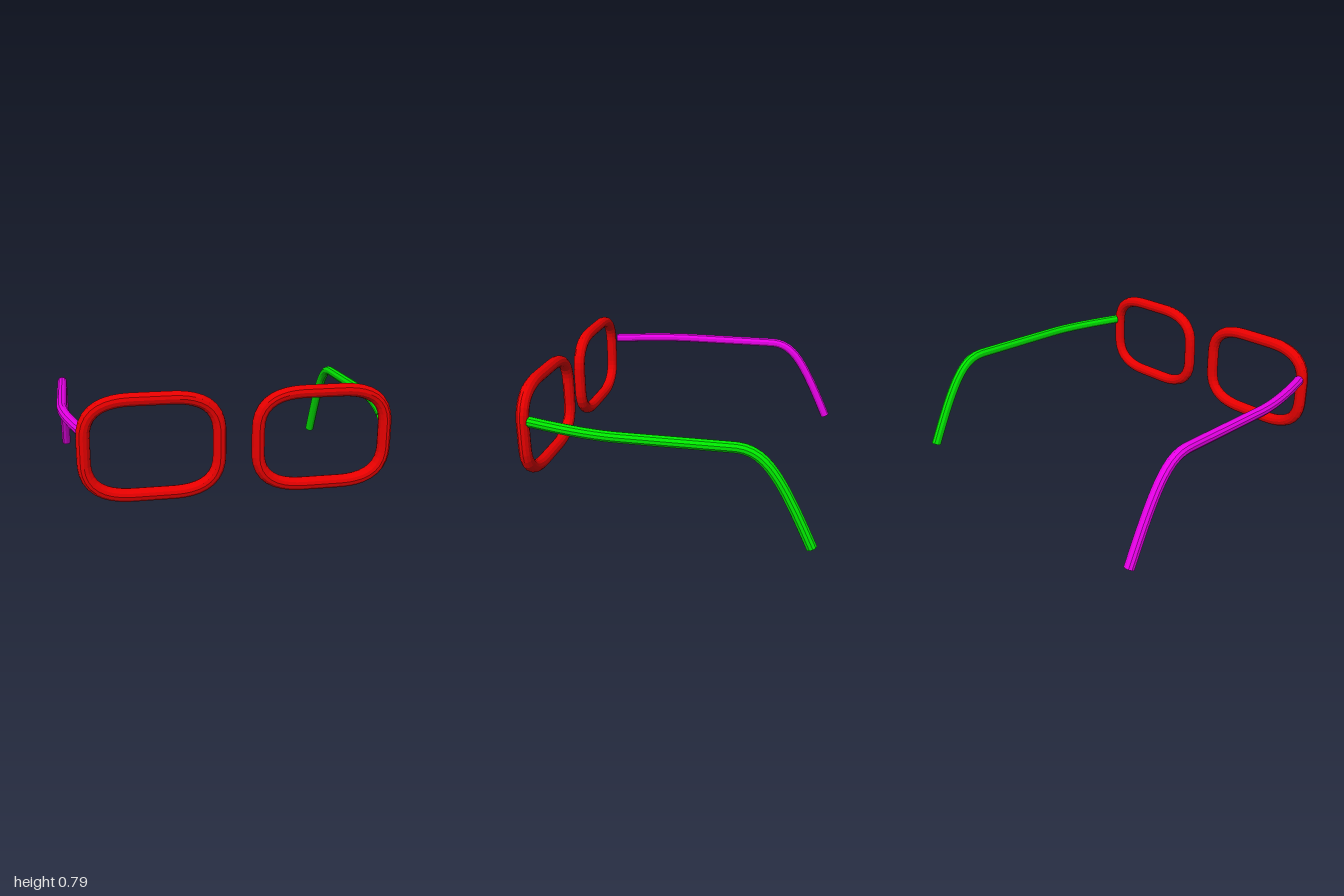
import * as THREE from 'three';

const V = (x, y, z) => new THREE.Vector3(x, y, z);
const ARM_RADIUS = 0.032;

function paint(name, color) {
  const m = new THREE.MeshStandardMaterial({ color, flatShading: true });
  m.name = name;
  return m;
}

// Rounded-rectangle loop for a lens rim: straight flats joined by soft corners
function rimPath(cx, cy, cz, a, b) {
  const fx = 0.11, fy = 0.07;
  const path = new THREE.CurvePath();
  const p = (x, y) => V(cx + x, cy + y, cz);
  const corner = (p0, p1, p2) => path.add(new THREE.QuadraticBezierCurve3(p0, p1, p2));
  const flat = (p0, p1) => path.add(new THREE.LineCurve3(p0, p1));
  flat(p(a, -fy), p(a, fy));
  corner(p(a, fy), p(a, b), p(fx, b));
  flat(p(fx, b), p(-fx, b));
  corner(p(-fx, b), p(-a, b), p(-a, fy));
  flat(p(-a, fy), p(-a, -fy));
  corner(p(-a, -fy), p(-a, -b), p(-fx, -b));
  flat(p(-fx, -b), p(fx, -b));
  corner(p(fx, -b), p(a, -b), p(a, -fy));
  return path;
}

// Temple arm: bows outward from the rim, runs straight back, hooks down at the ear
function armPath(s) {
  const x = s * 0.965, y = 0.575, path = new THREE.CurvePath();
  path.add(new THREE.QuadraticBezierCurve3(V(s * 0.855, y, 0.785), V(x, y, 0.42), V(x, y, 0.22)));
  path.add(new THREE.LineCurve3(V(x, y, 0.22), V(x, y, -0.41)));
  path.add(new THREE.CubicBezierCurve3(V(x, y, -0.41), V(x, y, -0.57), V(x, 0.45, -0.65), V(x, 0.012, -0.845)));
  return path;
}

// Flat disc closing one end of an arm
function endCap(path, t, material) {
  const cap = new THREE.Mesh(new THREE.CircleGeometry(ARM_RADIUS, 10), material);
  const dir = path.getTangentAt(t).multiplyScalar(t === 0 ? -1 : 1);
  cap.position.copy(path.getPointAt(t));
  cap.quaternion.setFromUnitVectors(V(0, 0, 1), dir);
  cap.name = t === 0 ? 'armFrontEnd' : 'armTip';
  return cap;
}

export function createModel() {
  const group = new THREE.Group();
  group.name = 'glassesFrame';
  const red = paint('red', 0xe70000);
  const green = paint('green', 0x00e700);
  const purple = paint('purple', 0xe700e7);

  for (const [s, side, armMaterial] of [[1, 'left', green], [-1, 'right', purple]]) {
    // Lens rim
    const rim = new THREE.Mesh(
      new THREE.TubeGeometry(rimPath(s * 0.482, 0.482, 0.829, 0.372, 0.271), 56, 0.038, 12, true), red);
    rim.name = side + 'Rim';
    group.add(rim);

    // Temple arm with closed ends
    const arm = new THREE.Group();
    arm.name = side + 'Arm';
    const path = armPath(s);
    const bar = new THREE.Mesh(new THREE.TubeGeometry(path, 48, ARM_RADIUS, 10, false), armMaterial);
    bar.name = side + 'ArmBar';
    arm.add(bar, endCap(path, 0, armMaterial), endCap(path, 1, armMaterial));
    group.add(arm);
  }
  return group;
}
